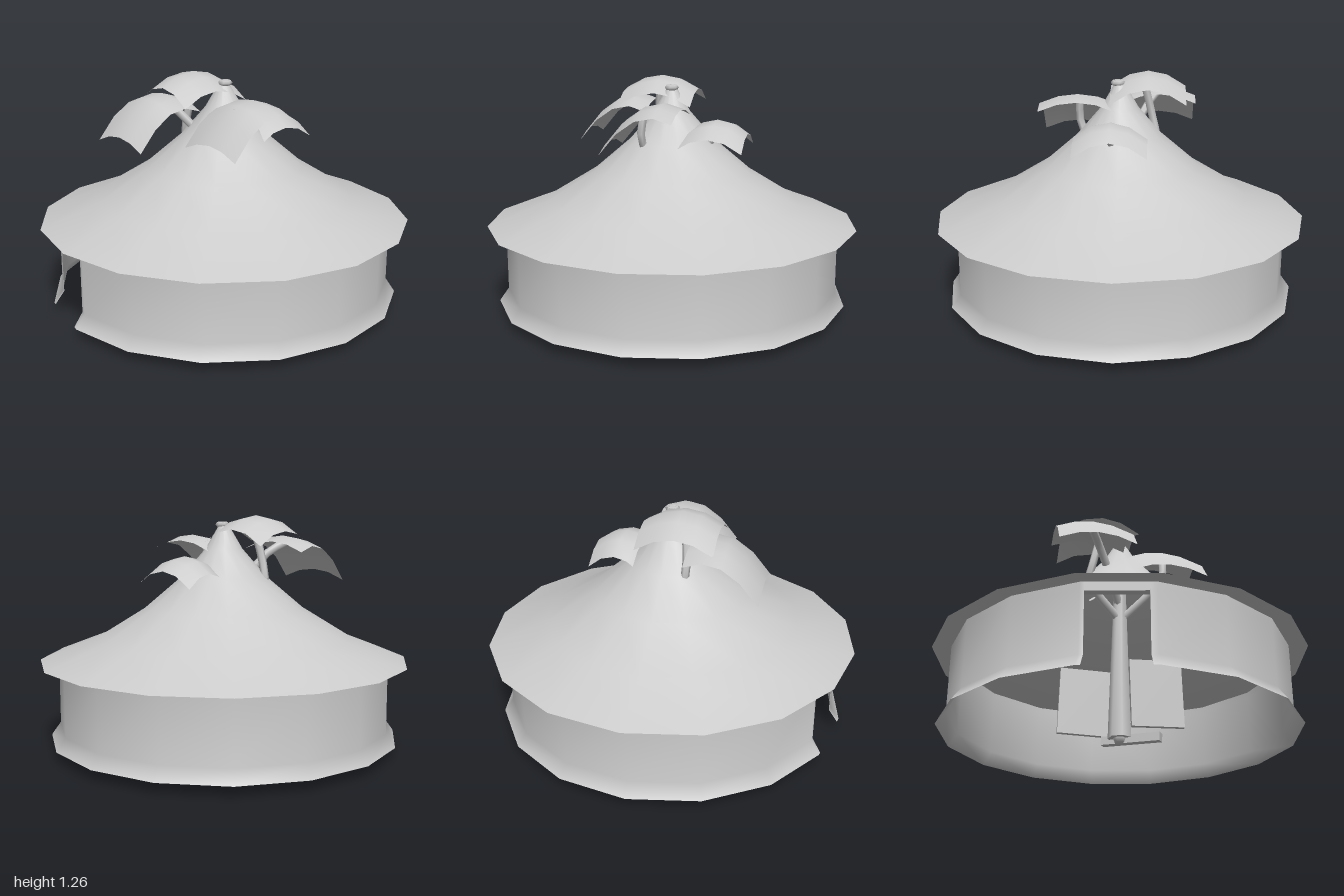
import * as THREE from 'three';

const material = new THREE.MeshStandardMaterial({ color: 0xcccccc, side: THREE.DoubleSide });
const SIDES = 16;

function add(parent, name, geometry, x = 0, y = 0, z = 0) {
  const mesh = new THREE.Mesh(geometry, material);
  mesh.name = name;
  mesh.position.set(x, y, z);
  parent.add(mesh);
  return mesh;
}

// Sixteen-sided wall with a flared foot; one facet is opened for the doorway
function wallGeometry() {
  const rows = [[0.95, 0.06], [0.9, 0.13], [0.9, 0.455], [0.9, 0.49]];
  const corner = (i) => {
    const a = (i / SIDES) * Math.PI * 2;
    return new THREE.Vector2(-Math.sin(a), Math.cos(a));
  };
  const columns = [corner(0), corner(0).lerp(corner(1), 0.09), corner(0).lerp(corner(1), 0.94)];
  for (let i = 1; i < SIDES; i++) columns.push(corner(i));
  const positions = [], index = [], n = columns.length;
  for (const c of columns) for (const [r, y] of rows) positions.push(c.x * r, y, c.y * r);
  for (let c = 0; c < n; c++) {
    for (let r = 0; r < 3; r++) {
      if (c === 1 && r < 2) continue;
      const a = c * 4 + r, b = ((c + 1) % n) * 4 + r;
      index.push(a, a + 1, b, b, a + 1, b + 1);
    }
  }
  const geometry = new THREE.BufferGeometry();
  geometry.setAttribute('position', new THREE.Float32BufferAttribute(positions, 3));
  geometry.setIndex(index);
  geometry.computeVertexNormals();
  return geometry;
}

// Curved square leaf: height(u, v) with u, v from -1 to 1 across x and z
function leafGeometry(width, depth, height, skew = 0) {
  const geometry = new THREE.PlaneGeometry(width, depth, 4, 4).rotateX(-Math.PI / 2);
  const p = geometry.attributes.position;
  for (let i = 0; i < p.count; i++) {
    const u = (2 * p.getX(i)) / width, v = (2 * p.getZ(i)) / depth;
    p.setY(i, height(u, v));
    p.setZ(i, p.getZ(i) + skew * u * (v + 1) / 2);
  }
  geometry.computeVertexNormals();
  return geometry;
}

export function createModel() {
  const model = new THREE.Group();
  model.name = 'roundHut';

  add(model, 'wall', wallGeometry());

  // Sweeping conical roof
  const roofProfile = [[1, 0.48], [0.69, 0.6], [0.43, 0.76], [0.23, 0.93], [0.1, 1.08], [0.03, 1.2]]
    .map(([r, y]) => new THREE.Vector2(r, y));
  add(model, 'roof', new THREE.LatheGeometry(roofProfile, SIDES));

  // Lintel over the doorway
  const lintel = add(model, 'lintel', new THREE.BoxGeometry(0.3, 0.025, 0.04), -0.175, 0.46, 0.84);
  lintel.rotation.y = -Math.PI / SIDES;

  // Central trunk with its foot
  add(model, 'trunk', new THREE.CylinderGeometry(0.025, 0.065, 1.18, 7), 0, 0.63, 0);
  add(model, 'trunkFoot', new THREE.SphereGeometry(0.04, 7, 4), 0, 0.045, 0);
  add(model, 'trunkTip', new THREE.TorusGeometry(0.025, 0.014, 5, 7).rotateX(Math.PI / 2), 0.01, 1.21, 0);
  const root = add(model, 'root', new THREE.BoxGeometry(0.33, 0.045, 0.04), 0.055, 0.033, 0.02);
  root.rotation.set(0, -0.6, -0.05);

  // Upright panels inside the hut
  for (const s of [-1, 1]) {
    const panel = add(model, 'innerPanel', new THREE.BoxGeometry(0.28, 0.37, 0.025), s * 0.175, 0.265, s * 0.1);
    panel.rotation.z = s * 0.03;
  }

  // Leaves: a dome on top and behind, two drooping forward
  const dome = (u, v) => -0.08 * u * u - 0.07 * v * v;
  const droop = (u, v) => -0.05 * u * u - 0.085 * v - 0.095 * v * v;
  const leaves = [
    { name: 'topLeaf', size: [0.4, 0.4], at: [-0.15, 1.26, 0.09], shape: dome },
    { name: 'frontLeaf', size: [0.4, 0.38], at: [-0.21, 1.13, 0.34], shape: droop },
    { name: 'leftLeaf', size: [0.41, 0.38], at: [0.225, 1.13, 0.085], shape: droop },
    { name: 'backLeaf', size: [0.38, 0.32], at: [0.04, 1.05, -0.26], shape: dome, skew: 0.04 },
  ];
  for (const { name, size, at, shape, skew } of leaves) {
    add(model, name, leafGeometry(...size, shape, skew), ...at);
  }

  // Stalks leaving the trunk, bending up through the roof to the leaves
  const stalks = [
    [[0, 0.72, 0], [-0.19, 0.9, 0.11], [-0.17, 1.02, 0.12], [-0.12, 1.23, 0.09]],
    [[0, 0.72, 0], [0.19, 0.91, 0.1], [0.22, 0.98, 0.11], [0.22, 1.11, 0.09]],
    [[0, 0.8, 0], [-0.1, 0.98, 0.14], [-0.15, 1.06, 0.2], [-0.2, 1.11, 0.28]],
    [[0, 0.72, 0], [0.03, 0.88, -0.17], [0.04, 0.95, -0.23], [0.04, 1.03, -0.25]],
  ];
  for (const points of stalks) {
    const curve = new THREE.CatmullRomCurve3(points.map((p) => new THREE.Vector3(...p)));
    add(model, 'leafStalk', new THREE.TubeGeometry(curve, 8, 0.022, 6));
  }

  return model;
}
